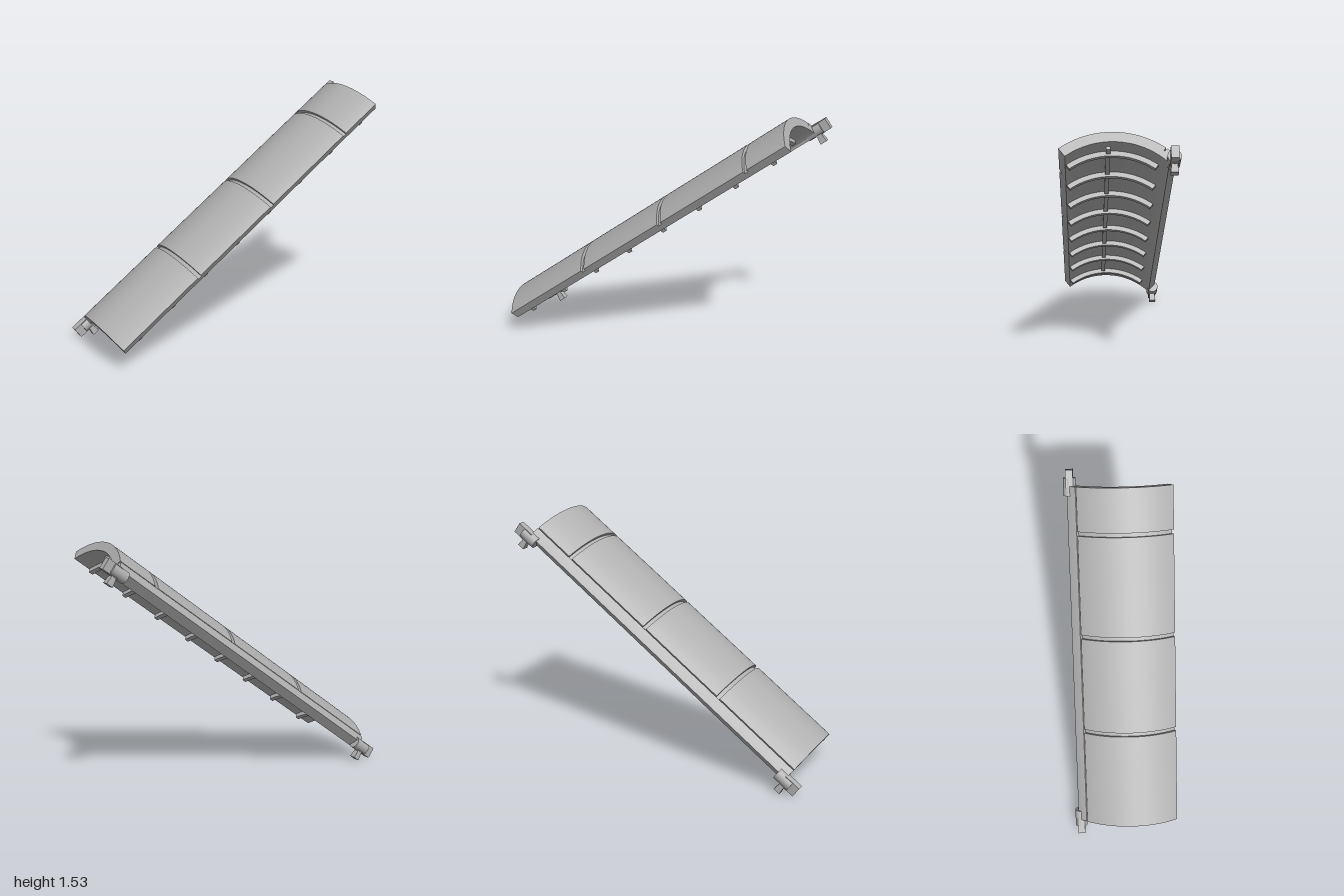
import * as THREE from 'three';
import { toCreasedNormals } from 'three/addons/utils/BufferGeometryUtils.js';

const LENGTH = 2.22, TILT = 0.625;
const CZ = 0.037, R_OUT = 0.495, R_IN = 0.435; // arc centre (z) and radii
const FRONT = 0.65, SEAM = -0.645, BACK = -0.805; // angles around the arc

// Point on the arc as [z, height]; height 0 is the crest of the shell
const polar = (r, a) => [CZ + r * Math.sin(a), -R_OUT + r * Math.cos(a)];

function arc(r, from, to, n = 28) {
  return Array.from({ length: n + 1 }, (_, i) => polar(r, from + (to - from) * i / n));
}

// Extrude a (z, height) cross-section along the panel from u0 to u1
function run(points, u0, u1) {
  const shape = new THREE.Shape(points.map(([z, y]) => new THREE.Vector2(-z, y)));
  const geo = new THREE.ExtrudeGeometry(shape, { depth: u1 - u0, bevelEnabled: false });
  geo.rotateY(Math.PI / 2).translate(u0, 0, 0);
  return toCreasedNormals(geo, 0.4);
}

export function createModel() {
  const grey = new THREE.MeshStandardMaterial({ color: 0xb0b0b0 });
  grey.name = 'plain grey';
  const model = new THREE.Group();
  const panel = new THREE.Group();
  panel.name = 'tiltedPanel';
  panel.position.set(-1, 0.24, 0);
  panel.rotation.z = TILT;
  model.add(panel);

  const add = (parent, name, geo) => {
    const mesh = new THREE.Mesh(geo, grey);
    mesh.name = name;
    parent.add(mesh);
    return mesh;
  };

  // Shell cross-section, with a narrow seam notch ahead of the back strip
  const section = (r) => [
    ...arc(r, FRONT, SEAM),
    polar(R_OUT - 0.02, SEAM),
    polar(R_OUT - 0.02, SEAM - 0.014),
    ...arc(R_OUT, SEAM - 0.014, BACK, 6),
    [-0.274, -0.203],
    ...arc(R_IN, BACK + 0.02, FRONT),
  ];

  // Curved shell, split by three shallow cross grooves
  const grooves = [0.624, 1.258, 1.917], width = 0.026;
  let start = 0;
  for (const g of grooves) {
    add(panel, 'shellSection', run(section(R_OUT), start, g));
    add(panel, 'shellGroove', run(section(R_OUT - 0.018), g, g + width));
    start = g + width;
  }
  add(panel, 'shellSection', run(section(R_OUT), start, LENGTH));

  // Curved ribs under the shell
  const ribShape = [...arc(R_IN + 0.005, 0.635, -0.645), ...arc(R_IN - 0.03, -0.645, 0.635)];
  for (let i = 0; i < 8; i++) {
    const u = 0.127 + 0.28 * i;
    add(panel, 'rib', run(ribShape, u - 0.014, u + 0.014));
  }

  // Long stringer joining the ribs
  const stringer = add(panel, 'stringer', new THREE.BoxGeometry(2.1, 0.025, 0.026));
  stringer.position.set(1.11, -0.066, 0.058);

  // Hinge fittings at both ends of the back strip
  const pegGeo = new THREE.CylinderGeometry(0.02, 0.032, 0.08, 4, 1).rotateY(Math.PI / 4);
  for (const end of [0, 1]) {
    const fitting = new THREE.Group();
    fitting.name = end ? 'upperHinge' : 'lowerHinge';
    fitting.position.set(end ? LENGTH : 0, -0.172, -0.302);
    fitting.rotation.y = end ? 0 : Math.PI;
    panel.add(fitting);
    const barrel = new THREE.CylinderGeometry(0.039, 0.039, 0.11, 20).rotateZ(Math.PI / 2);
    add(fitting, 'hingeBarrel', barrel).position.x = -0.005;
    add(fitting, 'hingeTip', new THREE.BoxGeometry(0.11, 0.072, 0.046)).position.x = 0.045;
    add(fitting, 'hingePeg', toCreasedNormals(pegGeo, 0.4)).position.set(0.01, -0.05, 0);
  }
  return model;
}
